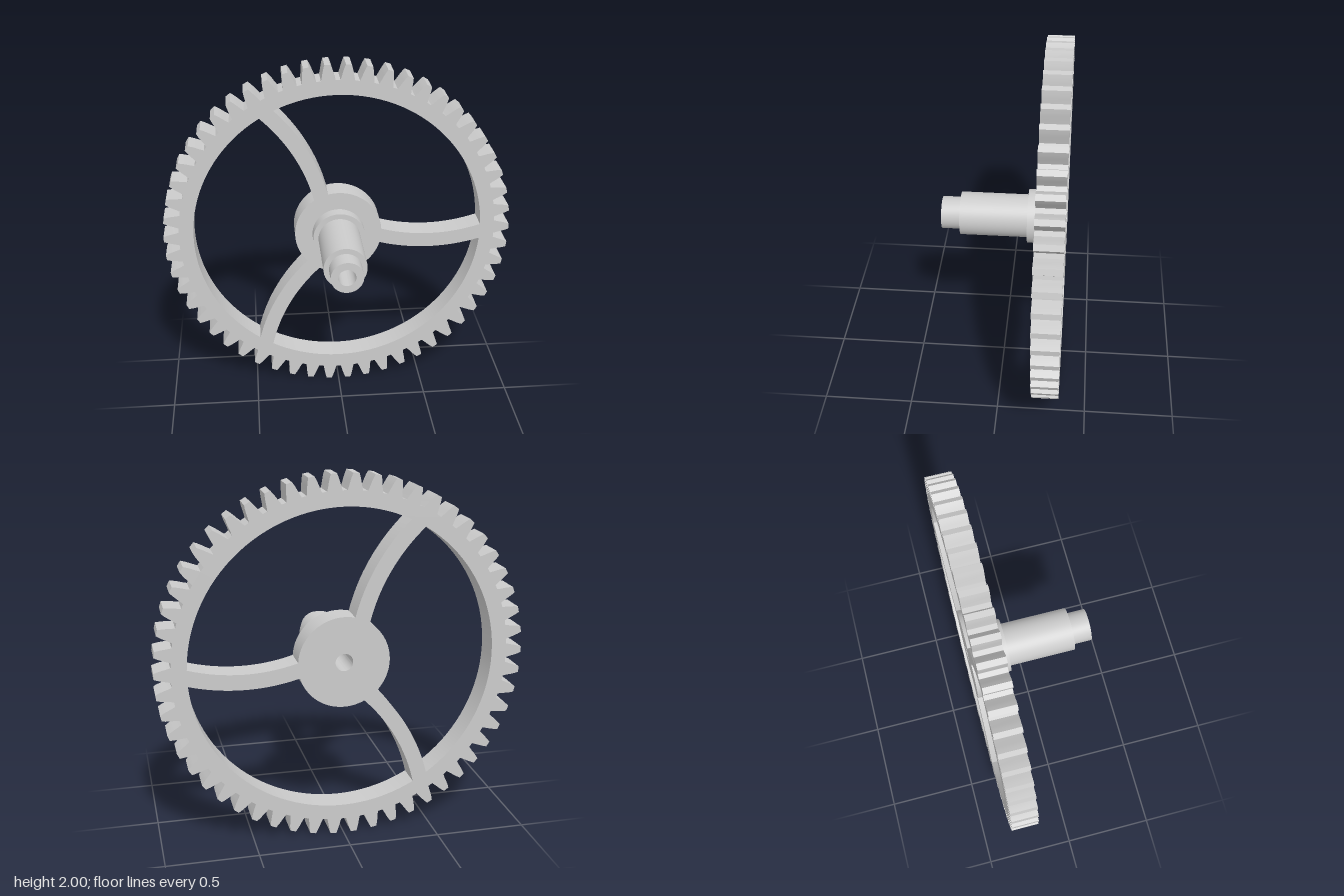
import * as THREE from 'three';
import { toCreasedNormals } from 'three/addons/utils/BufferGeometryUtils.js';

const TEETH = 54, HUB = 0.25, RIM = 0.83, BORE = 0.048;
const BACK = -0.35, FACE = -0.205, FRONT = 0.345;

const polar = (r, a) => new THREE.Vector2(r * Math.cos(a), r * Math.sin(a));

// Spoke edges are arcs about one centre; gives the polar angle of an edge at distance r from the axle
const ARC = new THREE.Vector2(0.53, 0.975);
function edgeAngle(r, arcRadius) {
  const d = ARC.length();
  return ARC.angle() - Math.acos((r * r + d * d - arcRadius * arcRadius) / (2 * r * d));
}

// Toothed outline: [radius, half width of tooth] from root to tip
function gearOutline() {
  const flank = [[0.913, 0.04], [0.935, 0.034], [0.96, 0.0285], [0.98, 0.023], [1, 0.016]];
  const pts = [];
  for (let i = 0; i < TEETH; i++) {
    const a = (i / TEETH) * Math.PI * 2;
    for (const [r, w] of flank) pts.push(polar(r, a - w / r));
    for (const [r, w] of [...flank].reverse()) pts.push(polar(r, a + w / r));
  }
  return new THREE.Shape(pts);
}

// Opening between one spoke and the next
function windowPath(turn) {
  const third = (Math.PI * 2) / 3, upper = 1.0, lower = 1.085, pts = [];
  const mix = THREE.MathUtils.lerp;
  const spoke = (from, to, arcRadius, offset) => {
    for (let i = 0; i < 16; i++) {
      const r = mix(from, to, i / 16);
      pts.push(polar(r, turn + offset + edgeAngle(r, arcRadius)));
    }
  };
  const ring = (r, a0, a1, n) => {
    for (let i = 0; i < n; i++) pts.push(polar(r, turn + mix(a0, a1, i / n)));
  };
  spoke(HUB, RIM, upper, 0);
  ring(RIM, edgeAngle(RIM, upper), third + edgeAngle(RIM, lower), 36);
  spoke(RIM, HUB, lower, third);
  ring(HUB, third + edgeAngle(HUB, lower), edgeAngle(HUB, upper), 24);
  return new THREE.Path(pts);
}

export function createModel() {
  const group = new THREE.Group();
  const material = new THREE.MeshStandardMaterial({ color: 0xcccccc });
  const add = (name, geometry) => {
    const mesh = new THREE.Mesh(toCreasedNormals(geometry, 0.3), material);
    mesh.name = name;
    group.add(mesh);
  };

  // Wheel: teeth, rim, three curved spokes and hub in one plate
  const outline = gearOutline();
  for (let k = 0; k < 3; k++) outline.holes.push(windowPath((k * Math.PI * 2) / 3));
  outline.holes.push(new THREE.Path().absarc(0, 0, BORE, 0, Math.PI * 2, true));
  const wheel = new THREE.ExtrudeGeometry(outline, {
    depth: FACE - BACK, bevelEnabled: false, curveSegments: 24,
  });
  wheel.translate(0, 0, BACK);
  add('spokedGearWheel', wheel);

  // Hollow shaft: collar, barrel, narrower tip, then back down the bore
  const profile = [
    [0.15, FACE], [0.15, -0.135], [0.12, -0.135], [0.12, 0.24],
    [0.09, 0.24], [0.09, FRONT], [BORE, FRONT], [BORE, FACE],
  ].map(([r, z]) => new THREE.Vector2(r, z));
  const shaft = new THREE.LatheGeometry(profile, 48);
  shaft.rotateX(Math.PI / 2);
  add('steppedShaft', shaft);

  group.position.y = 1;
  return group;
}
